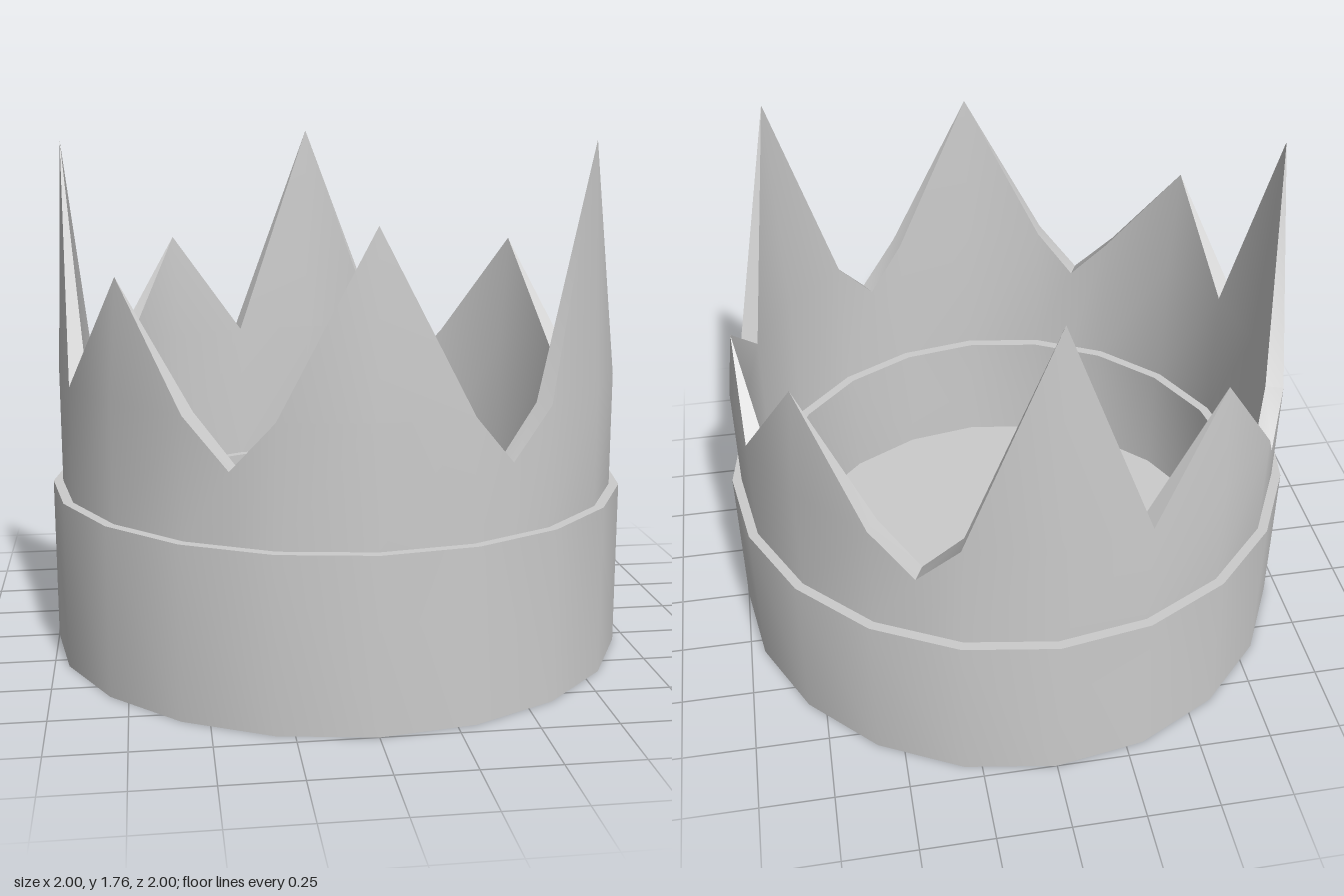
import * as THREE from 'three';
import { toCreasedNormals } from 'three/addons/utils/BufferGeometryUtils.js';

const SIDES = 20;
const OUTER = 0.967, INNER = 0.905, RIDGE = 0.937;
const RIM = 0.96, NOTCH = 0.8;
const CREASE = 0.5;

// spike position (step around the ring, from the front towards +x) -> tip height
const SPIKES = { 0: 1.53, 3: 1.76, 5: 1.2, 7: 1.35, 10: 1.76, 12: 1.35, 15: 1.75, 17: 1.35 };
// steps after which a notch is cut halfway to the next one
const NOTCHES = [1, 8, 13, 18];

function polar(step, radius, y) {
  const a = (step / SIDES) * Math.PI * 2;
  return [Math.sin(a) * radius, y, Math.cos(a) * radius];
}

// Thin wall whose top edge rises into spikes and drops into notches
function wallGeometry() {
  const pos = [];
  const tri = (a, b, c) => pos.push(...a, ...b, ...c);
  const quad = (a, b, c, d) => { tri(a, b, c); tri(a, c, d); };

  const columns = [];
  const addColumn = (step, top, tipHeight) => {
    // half steps lie on the flat of the polygon
    const k = Number.isInteger(step) ? 1 : Math.cos(Math.PI / SIDES);
    columns.push({
      outLow: polar(step, OUTER * k, 0.57), outTop: polar(step, OUTER * k, top),
      inLow: polar(step, INNER * k, 0.44), inTop: polar(step, INNER * k, top),
      tip: tipHeight ? polar(step, RIDGE, tipHeight) : null,
    });
  };
  for (let i = 0; i < SIDES; i++) {
    addColumn(i, RIM, SPIKES[i]);
    if (NOTCHES.includes(i)) addColumn(i + 0.5, NOTCH);
  }

  columns.forEach((a, i) => {
    const b = columns[(i + 1) % columns.length];
    quad(a.outLow, b.outLow, b.outTop, a.outTop);
    quad(b.inLow, a.inLow, a.inTop, b.inTop);
    const tip = a.tip || b.tip;
    if (tip) {
      // half of a spike: outer face, inner face and narrow sloping end
      tri(a.outTop, b.outTop, tip);
      tri(b.inTop, a.inTop, tip);
      if (a.tip) tri(b.outTop, b.inTop, tip);
      else tri(a.inTop, a.outTop, tip);
    } else {
      // sloping top of a notch
      quad(a.outTop, b.outTop, b.inTop, a.inTop);
    }
  });

  const g = new THREE.BufferGeometry();
  g.setAttribute('position', new THREE.Float32BufferAttribute(pos, 3));
  return toCreasedNormals(g, CREASE);
}

export function createModel() {
  const group = new THREE.Group();
  group.name = 'crown';
  const material = new THREE.MeshStandardMaterial({ color: 0xcccccc, side: THREE.DoubleSide });
  const add = (name, geometry) => {
    const mesh = new THREE.Mesh(geometry, material);
    mesh.name = name;
    group.add(mesh);
    return mesh;
  };

  // Thick base band with an inner ledge
  const profile = [
    [0.87, 0], [1, 0], [1, 0.57], [OUTER, 0.57],
    [INNER, 0.44], [0.87, 0.44], [0.87, 0],
  ].map(([r, y]) => new THREE.Vector2(r, y));
  add('baseBand', toCreasedNormals(new THREE.LatheGeometry(profile, SIDES), CREASE));

  // Closed bottom
  const floor = add('floor', new THREE.CircleGeometry(0.87, SIDES));
  floor.rotation.x = -Math.PI / 2;

  // Spiked upper wall
  add('spikedWall', wallGeometry());

  return group;
}
